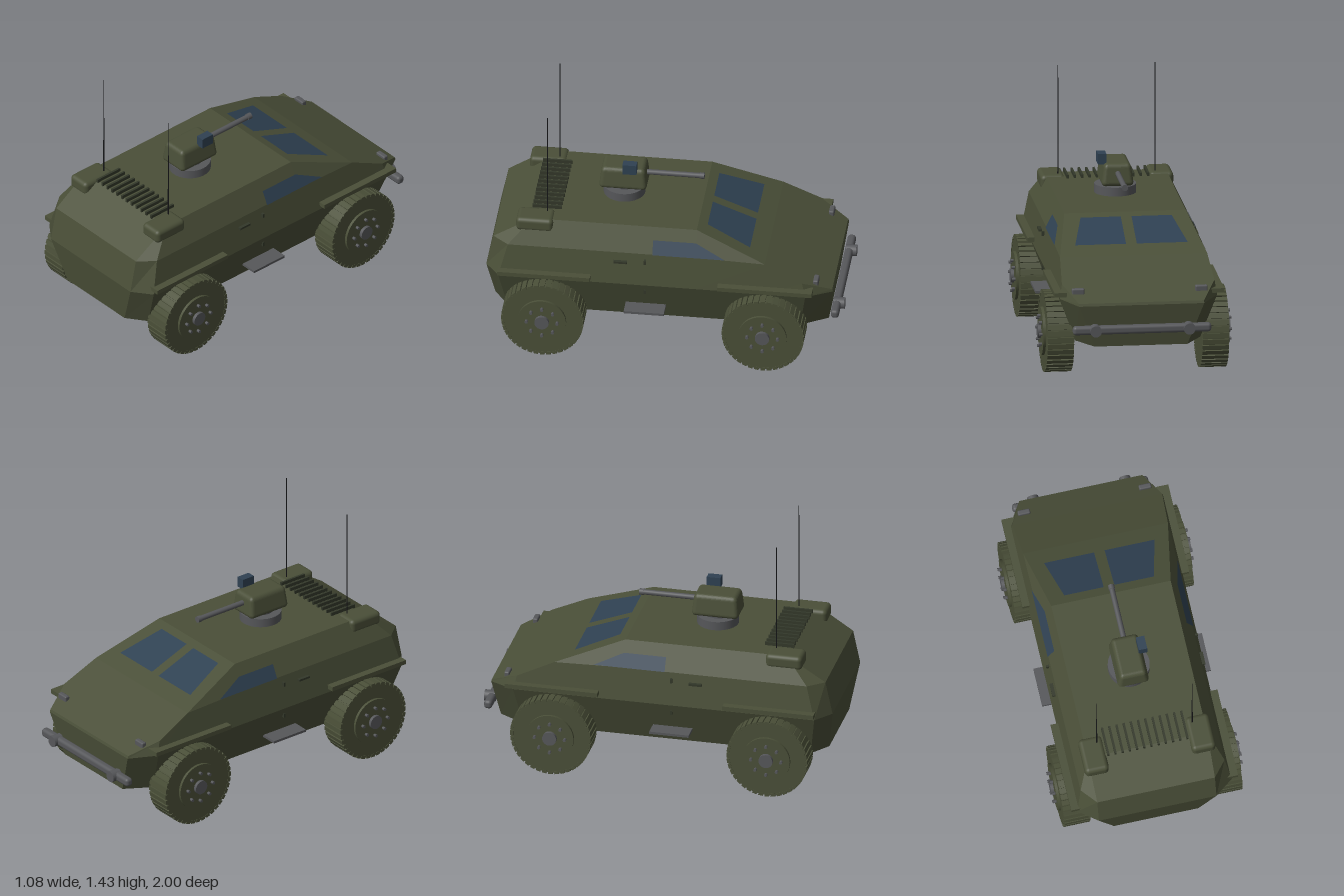
import * as THREE from 'three';
import { RoundedBoxGeometry } from 'three/addons/geometries/RoundedBoxGeometry.js';

const mat = (name, color, opts = {}) => {
  const m = new THREE.MeshStandardMaterial({ color, ...opts });
  m.name = name;
  return m;
};

export function createModel() {
  const olive = mat('olive paint', 0x4a4f38);
  const hullOlive = mat('hull olive paint', 0x4a4f38, { flatShading: true });
  const darkOlive = mat('dark olive', 0x33382a);
  const grey = mat('gunmetal grey', 0x56575a);
  const glass = mat('blue glass', 0x2f4152, { side: THREE.DoubleSide });
  const black = mat('black', 0x17181a);

  const model = new THREE.Group();
  model.name = 'armouredCar';

  const add = (name, geo, material, x = 0, y = 0, z = 0, parent = model) => {
    const m = new THREE.Mesh(geo, material);
    m.name = name;
    m.position.set(x, y, z);
    parent.add(m);
    return m;
  };
  const box = (w, h, d) => new THREE.BoxGeometry(w, h, d);
  const cylX = (r, len, n = 32) => new THREE.CylinderGeometry(r, r, len, n).rotateZ(Math.PI / 2);
  const cylZ = (r, len, n = 24) => new THREE.CylinderGeometry(r, r, len, n).rotateX(Math.PI / 2);

  // Hull: half sections (x, y, z) from tail to nose; each is floor, belt, shoulder, roof
  const sections = [
    [[0.24, 0.22, 0.96], [0.335, 0.47, 1.0], [0.335, 0.66, 0.96], [0.335, 0.66, 0.96]],
    [[0.35, 0.22, 0.88], [0.44, 0.47, 0.92], [0.41, 0.66, 0.87], [0.34, 0.8, 0.74]],
    [[0.35, 0.22, -0.18], [0.44, 0.47, -0.18], [0.41, 0.66, -0.18], [0.34, 0.8, -0.18]],
    [[0.35, 0.22, -0.57], [0.44, 0.47, -0.57], [0.412, 0.65, -0.57], [0.412, 0.65, -0.57]],
    [[0.35, 0.22, -0.76], [0.44, 0.47, -0.8], [0.427, 0.55, -0.78], [0.427, 0.55, -0.78]],
    [[0.26, 0.22, -0.91], [0.35, 0.46, -0.945], [0.35, 0.475, -0.94], [0.35, 0.475, -0.94]],
  ];
  const rings = sections.map(s => [...s, ...[...s].reverse().map(([x, y, z]) => [-x, y, z])]);
  const pos = [];
  const quad = (a, b, c, d) => pos.push(...a, ...b, ...c, ...a, ...c, ...d);
  for (let i = 0; i < rings.length - 1; i++) {
    for (let j = 0; j < 8; j++) {
      const k = (j + 1) % 8;
      quad(rings[i][j], rings[i + 1][j], rings[i + 1][k], rings[i][k]);
    }
  }
  const tail = rings[0], nose = rings[rings.length - 1];
  for (let j = 0; j < 3; j++) {
    quad(tail[j], tail[j + 1], tail[6 - j], tail[7 - j]);
    quad(nose[j + 1], nose[j], nose[7 - j], nose[6 - j]);
  }
  const hullGeo = new THREE.BufferGeometry();
  hullGeo.setAttribute('position', new THREE.Float32BufferAttribute(pos, 3));
  hullGeo.computeVertexNormals();
  add('hull', hullGeo, hullOlive);

  // Glass panes lying on the sloped hull faces
  const pane = (name, pts) => {
    const g = new THREE.BufferGeometry();
    g.setAttribute('position', new THREE.Float32BufferAttribute(pts.flat(), 3));
    g.setIndex([0, 1, 2, 0, 2, 3]);
    g.computeVertexNormals();
    add(name, g, glass);
  };
  const slopeY = z => 0.805 + (z + 0.18) * 0.385;
  const wallX = y => 0.415 - (y - 0.66) * 0.5;

  for (const s of [1, -1]) {
    const side = s > 0 ? 'left' : 'right';
    const windscreen = [[0.03, -0.23], [0.255, -0.23], [0.315, -0.475], [0.03, -0.475]]
      .map(([x, z]) => [s * x, slopeY(z), z]);
    const sideWindow = [[0.66, 0.06], [0.66, -0.345], [0.735, -0.18], [0.735, 0.06]]
      .map(([y, z]) => [s * wallX(y), y, z]);
    // Keep the corner order outward on both sides
    pane(side + 'Windscreen', s > 0 ? windscreen : windscreen.reverse());
    pane(side + 'Window', s > 0 ? sideWindow : sideWindow.reverse());

    // Fenders, step, door fittings
    add(side + 'RearFender', box(0.07, 0.025, 0.52), olive, s * 0.44, 0.502, 0.663);
    add(side + 'FrontFender', box(0.07, 0.025, 0.53), olive, s * 0.44, 0.502, -0.575);
    add(side + 'Step', box(0.12, 0.014, 0.225), grey, s * 0.42, 0.308, 0.1);
    add(side + 'DoorHandle', box(0.02, 0.012, 0.075), darkOlive, s * 0.426, 0.607, 0.238);
    for (const y of [0.42, 0.615])
      add(side + 'DoorHinge', box(0.016, 0.025, 0.012), darkOlive, s * 0.424, y, 0.1);

    // Headlight, bumper hook, stowage box, antenna
    add(side + 'Headlight', new RoundedBoxGeometry(0.07, 0.038, 0.03, 2, 0.008), grey, s * 0.345, 0.522, -0.85);
    add(side + 'BumperHook', cylZ(0.032, 0.06), grey, s * 0.262, 0.327, -0.97);
    add(side + 'StowageBox', new RoundedBoxGeometry(0.136, 0.082, 0.208, 3, 0.025), olive, s * 0.304, 0.769, 0.727);
    add(side + 'Antenna', new THREE.CylinderGeometry(0.002, 0.0035, 0.64, 8), black, s * 0.272, 1.112, 0.665);
  }
  add('bumper', new RoundedBoxGeometry(0.775, 0.05, 0.046, 3, 0.018), grey, 0, 0.327, -0.957);

  // Engine grille
  for (let i = 0; i < 12; i++)
    add('grilleBar', box(0.012, 0.022, 0.165), darkOlive, -0.225 + i * 0.041, 0.808, 0.672);

  // Turret with tapered rounded body
  const turret = new THREE.Group();
  turret.name = 'turret';
  turret.position.set(0, 0, 0.268);
  model.add(turret);
  add('turretRing', new THREE.CylinderGeometry(0.117, 0.117, 0.05, 40), grey, 0, 0.826, 0, turret);
  add('turretNeck', new THREE.CylinderGeometry(0.07, 0.07, 0.03, 32), grey, 0, 0.855, 0, turret);
  const body = new RoundedBoxGeometry(0.184, 0.128, 0.27, 4, 0.025);
  const p = body.attributes.position;
  for (let i = 0; i < p.count; i++) {
    const k = 1 - 0.2 * (p.getY(i) / 0.128 + 0.5);
    p.setX(i, p.getX(i) * k);
    p.setZ(i, p.getZ(i) * (0.5 + k * 0.5));
  }
  body.computeVertexNormals();
  add('turretBody', body, olive, 0, 0.925, 0, turret);
  add('gunBarrel', cylZ(0.015, 0.32), grey, 0, 0.935, -0.27, turret);
  add('muzzle', cylZ(0.018, 0.025), grey, 0, 0.935, -0.435, turret);
  add('sensorBox', box(0.048, 0.06, 0.078), glass, 0.082, 1.008, -0.04, turret);

  // Wheels: axle along x, outer face toward +x
  const makeWheel = name => {
    const w = new THREE.Group();
    w.name = name;
    add('tyre', cylX(0.222, 0.144, 48), olive, 0, 0, 0, w);
    const lugs = 40;
    for (let i = 0; i < lugs; i++) {
      const a = (i / lugs) * Math.PI * 2;
      const lug = add('treadLug', box(0.148, 0.018, 0.026), olive, 0, Math.cos(a) * 0.221, Math.sin(a) * 0.221, w);
      lug.rotation.x = a;
    }
    add('rim', cylX(0.135, 0.02, 40), olive, 0.077, 0, 0, w);
    add('hub', cylX(0.04, 0.03, 24), grey, 0.09, 0, 0, w);
    for (let i = 0; i < 8; i++) {
      const a = (i / 8) * Math.PI * 2;
      add('wheelBolt', cylX(0.009, 0.02, 8), grey, 0.095, Math.cos(a) * 0.086, Math.sin(a) * 0.086, w);
    }
    return w;
  };
  for (const [end, z] of [['Rear', 0.665], ['Front', -0.57]]) {
    for (const s of [1, -1]) {
      const w = makeWheel((s > 0 ? 'left' : 'right') + end + 'Wheel');
      w.position.set(s * 0.434, 0.233, z);
      if (s < 0) w.rotation.y = Math.PI;
      model.add(w);
    }
  }
  return model;
}
